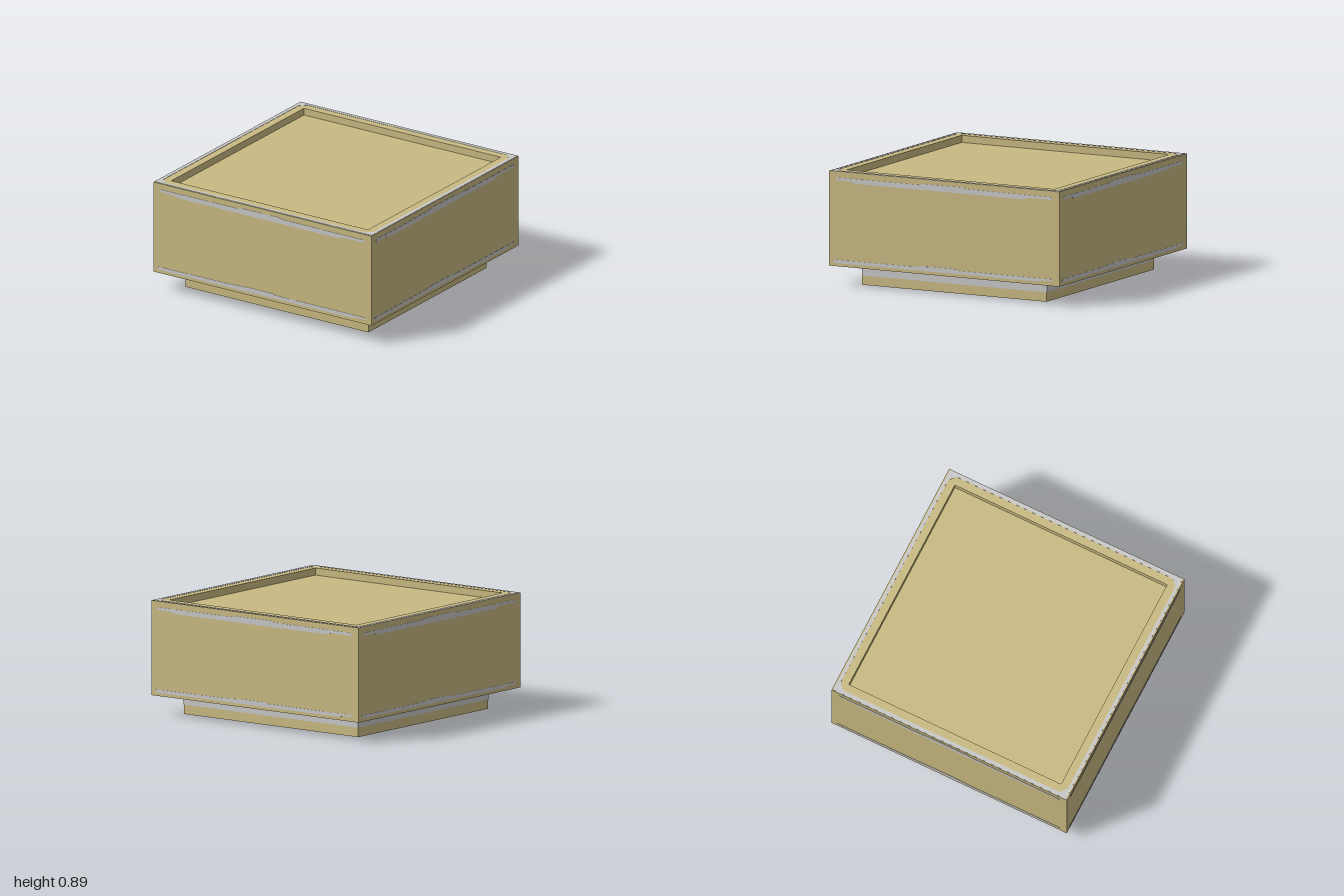
import * as THREE from 'three';

const tan = new THREE.MeshStandardMaterial({ color: 0xc9ba82, side: THREE.DoubleSide });
tan.name = 'tan panel';
const grey = new THREE.MeshStandardMaterial({ color: 0xc8c8c8, side: THREE.DoubleSide });
grey.name = 'worn grey';

const THIN = 0.004;
const HALF = 0.998;            // half width of the shell
const BOTTOM = 0.155, TOP = 0.885;
const RECESS = 0.9, FLOOR = 0.83;

function add(parent, name, geometry, material) {
  const mesh = new THREE.Mesh(geometry, material);
  mesh.name = name;
  parent.add(mesh);
  return mesh;
}

// Four upright sheets around a rectangle, open above and below
function ring(name, hx, hz, y0, y1, material) {
  const group = new THREE.Group();
  group.name = name;
  for (let i = 0; i < 4; i++) {
    const alongX = i % 2 === 0;
    const sheet = new THREE.PlaneGeometry(2 * (alongX ? hx : hz), y1 - y0);
    sheet.translate(0, (y0 + y1) / 2, alongX ? hz : hx);
    sheet.rotateY(i * Math.PI / 2);
    add(group, name + 'Side', sheet, material);
  }
  return group;
}

// Thin plate that straddles its sheet so it shows on both sides
function plate(shape) {
  const g = new THREE.ExtrudeGeometry(shape, { depth: THIN, bevelEnabled: false });
  return g.translate(0, 0, -THIN / 2);
}

const polygon = points => new THREE.Shape(points.map(p => new THREE.Vector2(...p)));
const rectangle = (x, y) => [[-x, -y], [x, -y], [x, y], [-x, y]];

export function createModel() {
  const model = new THREE.Group();
  model.name = 'planter';

  // Outer shell and the raised skirt beneath it
  model.add(ring('shellWall', HALF, HALF, BOTTOM, TOP, tan));
  model.add(ring('baseSkirt', 0.838, 0.8, 0, 0.25, tan));
  model.add(ring('skirtBand', 0.84, 0.802, 0.072, 0.126, grey));
  model.add(ring('skirtBandInside', 0.836, 0.798, 0.072, 0.126, grey));

  // Flat rim around a shallow recess
  const rim = polygon(rectangle(HALF, HALF));
  rim.holes.push(polygon(rectangle(RECESS, RECESS)));
  add(model, 'rim', new THREE.ShapeGeometry(rim).rotateX(-Math.PI / 2).translate(0, TOP, 0), tan);
  model.add(ring('recessWall', RECESS, RECESS, FLOOR, TOP, tan));
  add(model, 'recessFloor', new THREE.PlaneGeometry(2 * RECESS, 2 * RECESS)
    .rotateX(-Math.PI / 2).translate(0, FLOOR, 0), tan);

  // Worn line around the rim, wider at the corners
  const wear = polygon(rectangle(0.994, 0.987));
  const a = 0.963, b = 0.915;
  wear.holes.push(polygon([[-b, -a], [b, -a], [a, -b], [a, b], [b, a], [-b, a], [-a, b], [-a, -b]]));
  add(model, 'rimWear', plate(wear).rotateX(-Math.PI / 2).translate(0, TOP, 0), grey);

  // Uneven worn lines near the top and bottom of each side
  const upper = polygon([[-0.935, 0.817], [-0.8, 0.817], [-0.78, 0.803], [0.69, 0.803], [0.73, 0.817],
    [0.93, 0.817], [0.93, 0.838], [0.34, 0.84], [0.18, 0.842], [0.16, 0.85], [-0.18, 0.85], [-0.22, 0.84], [-0.935, 0.838]]);
  const lower = polygon([[-0.95, 0.18], [0.82, 0.18], [0.84, 0.19], [0.94, 0.192], [0.94, 0.207],
    [0.14, 0.207], [0.08, 0.217], [-0.12, 0.217], [-0.3, 0.207], [-0.955, 0.205]]);
  for (let i = 0; i < 4; i++) {
    for (const [name, shape] of [['upperWear', upper], ['lowerWear', lower]]) {
      add(model, name, plate(shape).translate(0, 0, HALF).rotateY(i * Math.PI / 2), grey);
    }
  }
  return model;
}
